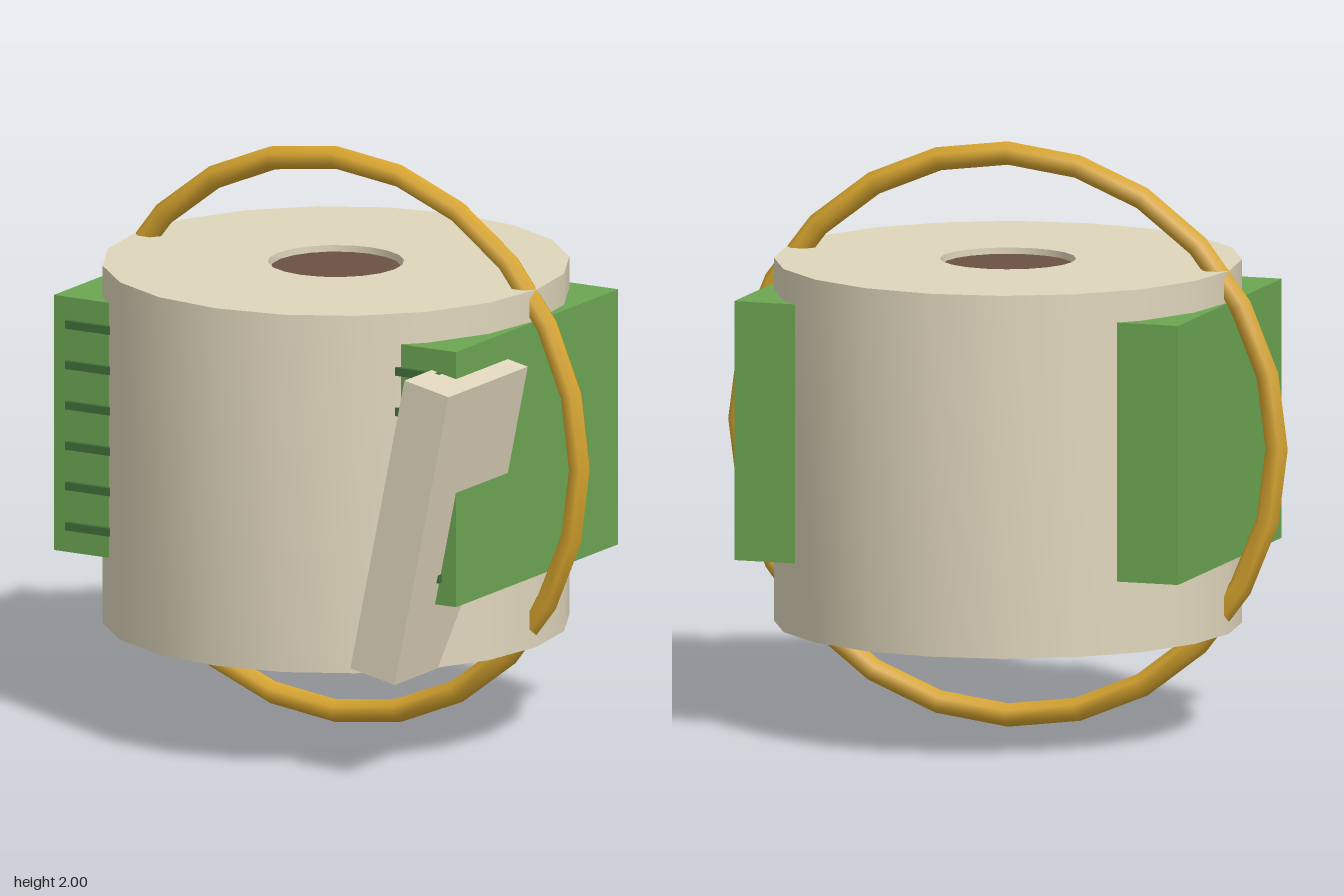
import * as THREE from 'three';
import { toCreasedNormals } from 'three/addons/utils/BufferGeometryUtils.js';

const paint = (color, side = THREE.FrontSide) => new THREE.MeshStandardMaterial({ color, side });

export function createModel() {
  const model = new THREE.Group();
  const cream = paint(0xe0d6bc);
  const green = paint(0x6ca652);
  const darkGreen = paint(0x41703a);

  function add(name, geometry, material, x = 0, y = 0, z = 0) {
    const mesh = new THREE.Mesh(geometry, material);
    mesh.name = name;
    mesh.position.set(x, y, z);
    model.add(mesh);
    return mesh;
  }

  // Thin drum, open underneath, with a round hole in its top
  const profile = [[0.79, 0.36], [0.79, 1.6], [0.23, 1.6], [0.23, 1.49]]
    .map(([r, y]) => new THREE.Vector2(r, y));
  add('drumShell', toCreasedNormals(new THREE.LatheGeometry(profile, 20), 0.6),
    paint(0xe0d6bc, THREE.DoubleSide));

  // Block running through the drum, showing at all four corners
  add('sideBlock', new THREE.BoxGeometry(1.586, 0.885, 1.056), green, 0, 1.05, 0);

  // Vent bars on the front corners
  for (const side of [-1, 1]) {
    for (let i = 0; i < 6; i++) {
      add('ventBar', new THREE.BoxGeometry(0.175, 0.028, 0.04), darkGreen,
        side * 0.65, 0.70 + i * 0.14, 0.526);
    }
  }

  // Central core, just short of the top and bottom of the drum
  add('core', new THREE.CylinderGeometry(0.22, 0.22, 1.19, 20), paint(0x6b5242), 0, 0.985, 0);

  // Upright ring around the drum
  add('ring', new THREE.TorusGeometry(0.96, 0.04, 6, 24), paint(0xdaa730), 0, 1, 0);

  // Slab leaning on the left side
  const slab = add('leaningSlab', new THREE.BoxGeometry(0.178, 1.047, 0.515), cream, 0.678, 0.888, 0.448);
  slab.rotation.z = -0.205;

  return model;
}
